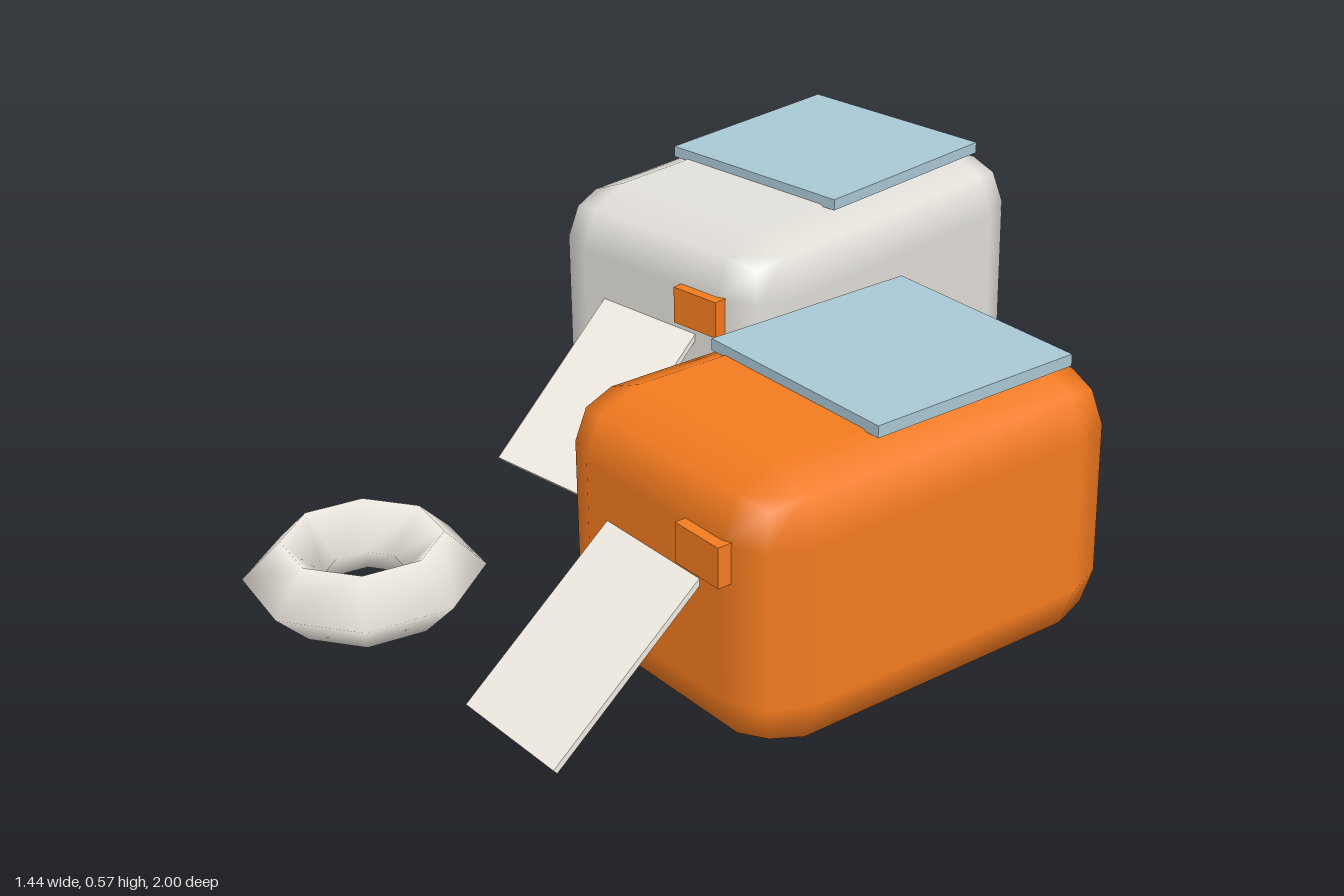
import * as THREE from 'three';
import { RoundedBoxGeometry } from 'three/addons/geometries/RoundedBoxGeometry.js';

const mat = (color) => new THREE.MeshStandardMaterial({ color });
const orange = mat(0xf47b20), shell = mat(0xe3e0da), paper = mat(0xf2ede4), glass = mat(0xa9c8d6);

const W = 0.63, H = 0.55, D = 0.87, R = 0.12;

function add(parent, name, geometry, material, x, y, z) {
  const mesh = new THREE.Mesh(geometry, material);
  mesh.name = name;
  mesh.position.set(x, y, z);
  parent.add(mesh);
  return mesh;
}

// One device: rounded body, top panel, front button and sloping paper strip
function makeUnit(name, bodyMaterial, x, z, turn) {
  const unit = new THREE.Group();
  unit.name = name;
  add(unit, 'body', new RoundedBoxGeometry(W, H, D, 1, R), bodyMaterial, 0, H / 2, 0);
  add(unit, 'topPanel', new THREE.BoxGeometry(0.472, 0.024, 0.472), glass, 0, 0.558, -0.12);
  add(unit, 'button', new THREE.BoxGeometry(0.12, 0.08, 0.04), orange, 0.155, 0.397, D / 2);
  const strip = add(unit, 'paperStrip', new THREE.BoxGeometry(0.272, 0.012, 0.42), paper, 0, 0.202, 0.588);
  strip.rotation.x = 0.69;
  unit.position.set(x, 0, z);
  unit.rotation.y = turn;
  return unit;
}

export function createModel() {
  const model = new THREE.Group();
  model.name = 'model';
  model.add(makeUnit('orangeUnit', orange, 0.335, 0.2375, -0.24));
  model.add(makeUnit('paleUnit', shell, -0.375, -0.55, -0.1));

  // Paper roll lying flat
  const roll = add(model, 'paperRoll', new THREE.TorusGeometry(0.157, 0.078, 4, 8), paper, -0.455, 0.078, 0.71);
  roll.rotation.x = -Math.PI / 2;
  return model;
}
